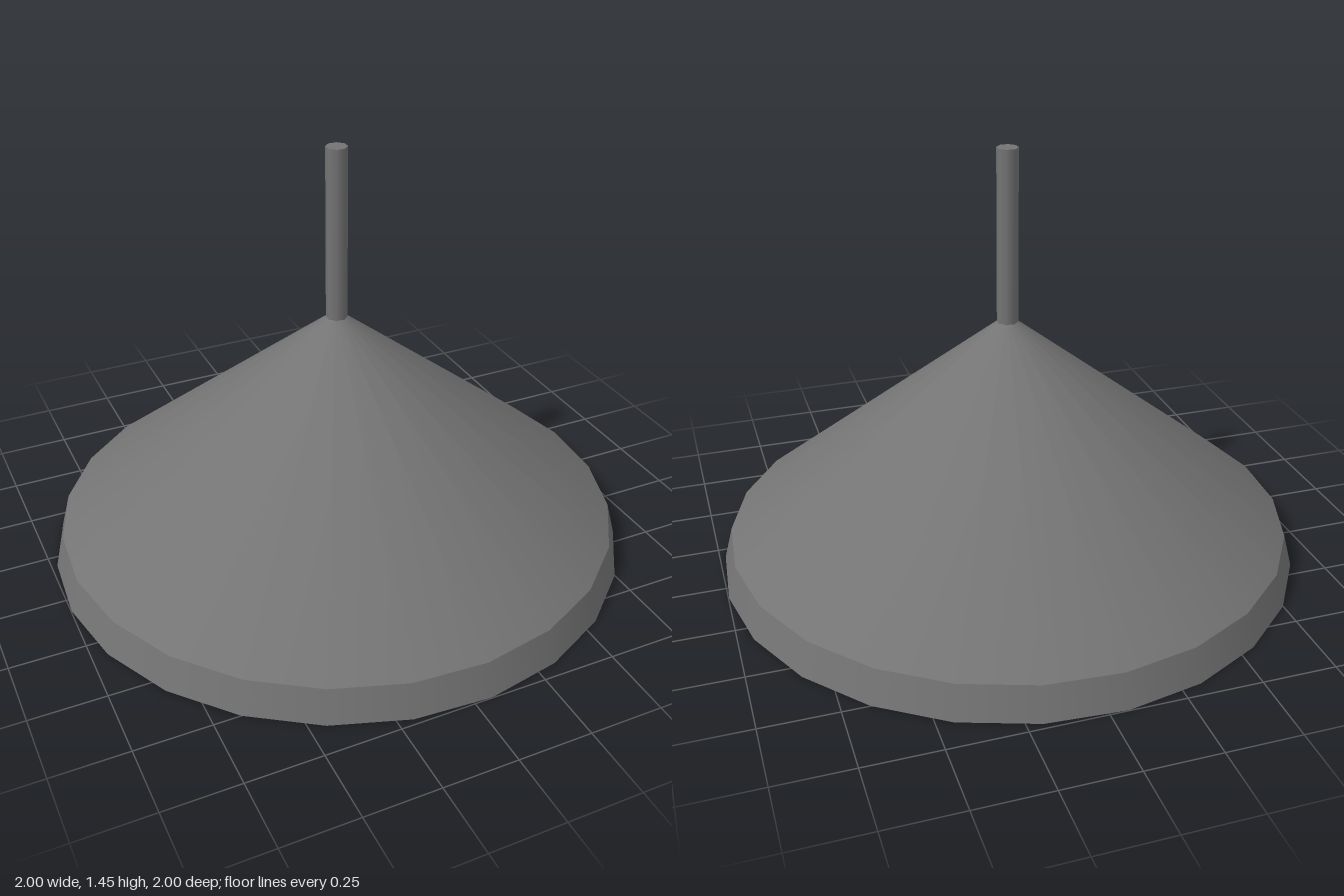
import * as THREE from 'three';

export function createModel() {
  const model = new THREE.Group();
  const material = (name, color, side = THREE.FrontSide) => {
    const m = new THREE.MeshStandardMaterial({ color, side });
    m.name = name;
    return m;
  };
  const metal = material('dark grey metal', 0x747474, THREE.DoubleSide);
  const glass = material('warm glass', 0xe5c995);

  const add = (name, geometry, mat, y = 0) => {
    const mesh = new THREE.Mesh(geometry, mat);
    mesh.name = name;
    mesh.position.y = y;
    model.add(mesh);
    return mesh;
  };
  // Open ring surfaces share a slightly turned 24-sided outline
  const band = (points) => new THREE.LatheGeometry(
    points.map(([r, y]) => new THREE.Vector2(r, y)), 24, THREE.MathUtils.degToRad(3.5));

  // Shade: cone with a steeper lip, separate so the edge stays sharp
  add('shadeCone', band([[0.97, 0.115], [0.03, 0.86]]), metal);
  add('shadeRim', band([[1, 0], [0.97, 0.115]]), metal);
  // Shallower inner cone, running from the bottom edge to the top of the bulb
  add('shadeInside', band([[0, 0.575], [1, 0]]), metal);

  // Hanging rod, rising from the shade's apex
  const rodBottom = 0.84, rodTop = 1.45;
  const rod = add('hangingRod', new THREE.CylinderGeometry(0.036, 0.036, rodTop - rodBottom, 8),
    metal, (rodTop + rodBottom) / 2);
  rod.rotation.y = Math.PI / 8;

  // Bulb
  const bulbY = 0.345, bulbRadius = 0.195;
  add('bulb', new THREE.SphereGeometry(bulbRadius, 32, 20), glass, bulbY);

  // Small metal tab on the bulb
  const normal = new THREE.Vector3(0.376, 0.35, -0.856).normalize();
  const tab = add('bulbTab', new THREE.BoxGeometry(0.1, 0.06, 0.009), metal);
  tab.position.copy(normal).multiplyScalar(bulbRadius).add(new THREE.Vector3(0, bulbY, 0));
  tab.lookAt(tab.position.clone().add(normal));

  return model;
}
